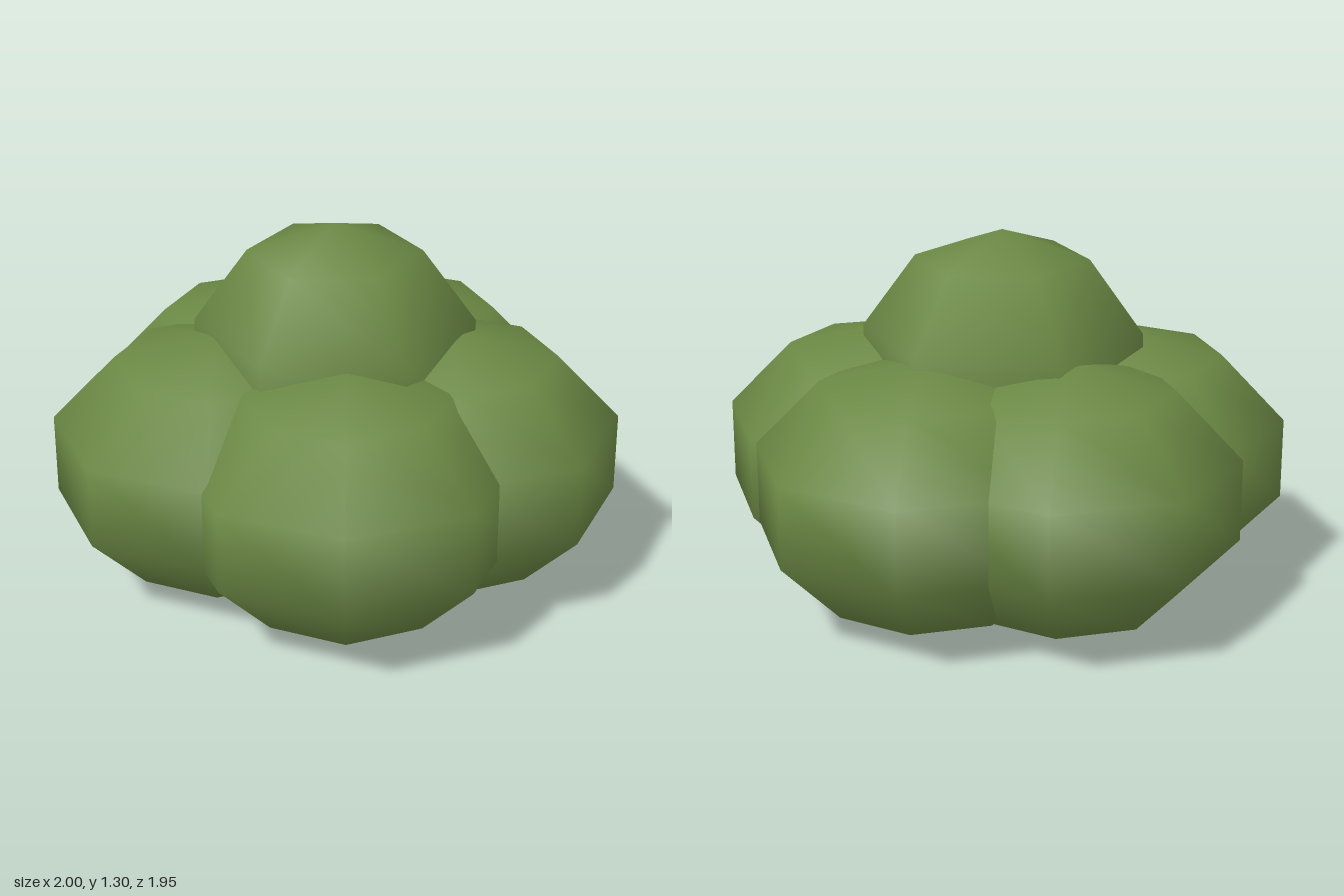
import * as THREE from 'three';

export function createModel() {
  const model = new THREE.Group();
  model.name = 'bush';

  const leafGreen = new THREE.MeshStandardMaterial({ color: 0x6b8844 });
  leafGreen.name = 'leaf green';

  // One smooth, low-poly clump of leaves
  function addClump(name, radius, sides, squash, x, y, z) {
    const geometry = new THREE.SphereGeometry(radius, sides, 5);
    geometry.scale(1, squash, 1);
    const clump = new THREE.Mesh(geometry, leafGreen);
    clump.name = name;
    clump.position.set(x, y, z);
    model.add(clump);
  }

  // Ring of five flattened clumps resting on the ground
  const ring = [
    ['frontClump', 0.04, 0.38],
    ['leftClump', 0.41, 0.05],
    ['backLeftClump', 0.21, -0.39],
    ['backRightClump', -0.27, -0.36],
    ['rightClump', -0.41, 0.08],
  ];
  for (const [name, x, z] of ring) addClump(name, 0.62, 8, 0.75, x, 0.465, z);

  // Crown on top
  addClump('topClump', 0.52, 6, 1, -0.005, 0.78, -0.03);

  return model;
}
